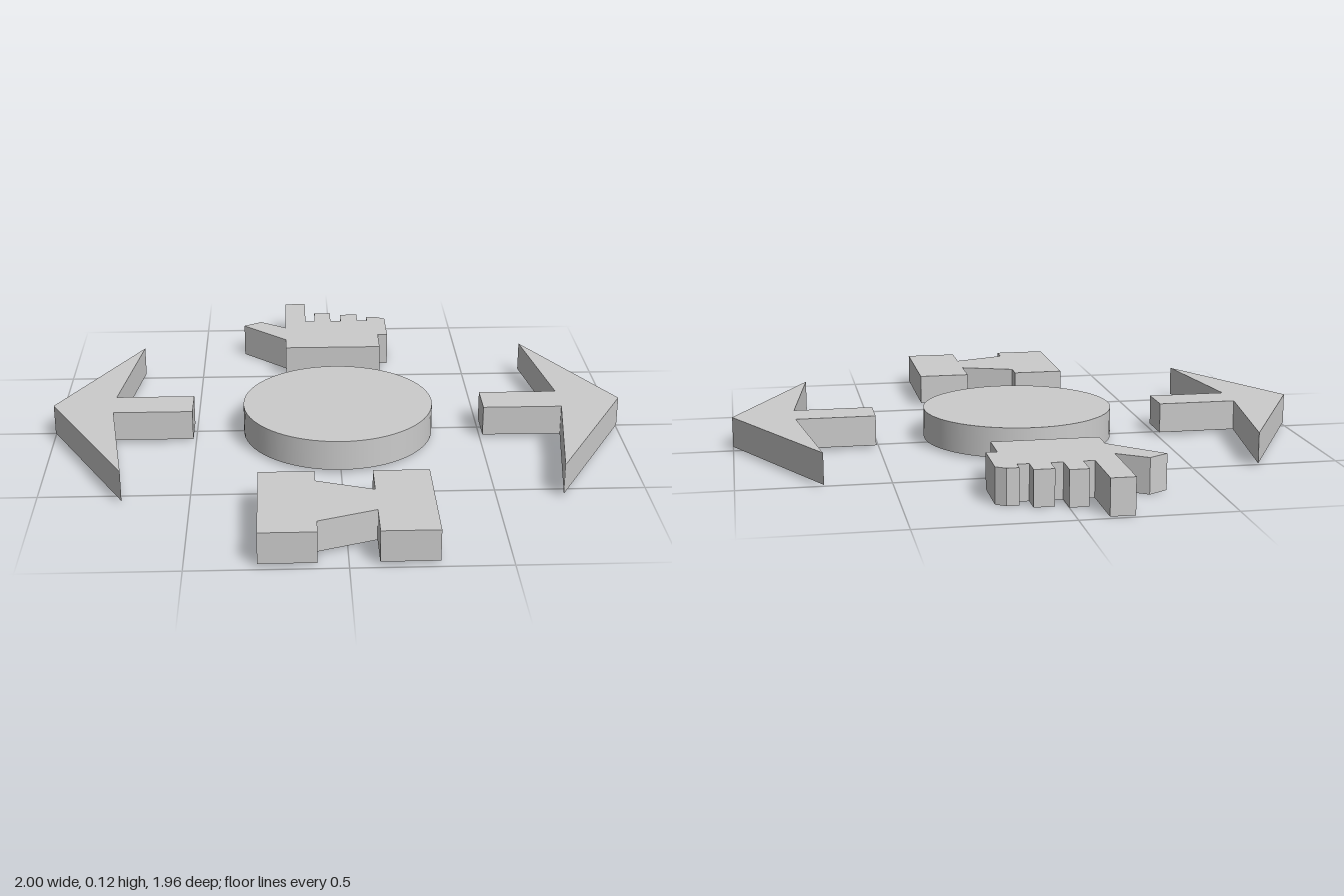
import * as THREE from 'three';

const material = new THREE.MeshStandardMaterial({ color: 0xcccccc });

// Flat slab from an outline of [x, z] points, between two heights
function slab(name, outline, bottom, top) {
  const shape = new THREE.Shape(outline.map(([x, z]) => new THREE.Vector2(x, z)));
  const geometry = new THREE.ExtrudeGeometry(shape, { depth: top - bottom, bevelEnabled: false });
  geometry.rotateX(Math.PI / 2).translate(0, top, 0);
  const mesh = new THREE.Mesh(geometry, material);
  mesh.name = name;
  return mesh;
}

export function createModel() {
  const group = new THREE.Group();
  const low = 0.01, high = 0.115, midZ = 0.018;

  // Central round button
  const disc = new THREE.Mesh(new THREE.CylinderGeometry(0.333, 0.333, high - low, 64), material);
  disc.name = 'roundButton';
  disc.position.set(0, (low + high) / 2, midZ);
  group.add(disc);

  // Arrows pointing outward on both sides
  const arrow = [
    [1, midZ], [0.72, 0.555], [0.785, 0.085], [0.51, 0.085],
    [0.51, -0.05], [0.785, -0.05], [0.72, -0.52],
  ];
  for (const [side, name] of [[1, 'leftArrow'], [-1, 'rightArrow']]) {
    group.add(slab(name, arrow.map(([x, z]) => [x * side, z]), low, high));
  }

  // Front block with two slanted notches
  group.add(slab('notchedBlock', [
    [-0.277, 0.572], [-0.095, 0.572], [-0.095, 0.64], [0.093, 0.707], [0.093, 0.572], [0.277, 0.572],
    [0.277, 0.982], [0.093, 0.982], [0.093, 0.845], [-0.095, 0.913], [-0.095, 0.982], [-0.277, 0.982],
  ], low, high));

  // Pointing hand at the back
  group.add(slab('pointingHand', [
    // wrist and palm edge
    [-0.18, -0.495], [0.18, -0.495], [0.18, -0.623], [0.217, -0.623],
    // little finger
    [0.217, -0.797], [0.185, -0.82], [0.145, -0.82], [0.145, -0.78],
    // ring finger
    [0.107, -0.78], [0.107, -0.85], [0.04, -0.85], [0.04, -0.78],
    // middle finger
    [0, -0.78], [0, -0.87], [-0.063, -0.87], [-0.063, -0.78],
    // index finger
    [-0.1, -0.78], [-0.1, -0.982], [-0.18, -0.982], [-0.18, -0.71],
    // thumb
    [-0.277, -0.778], [-0.343, -0.738], [-0.18, -0.58],
  ], 0, 0.12));

  return group;
}
